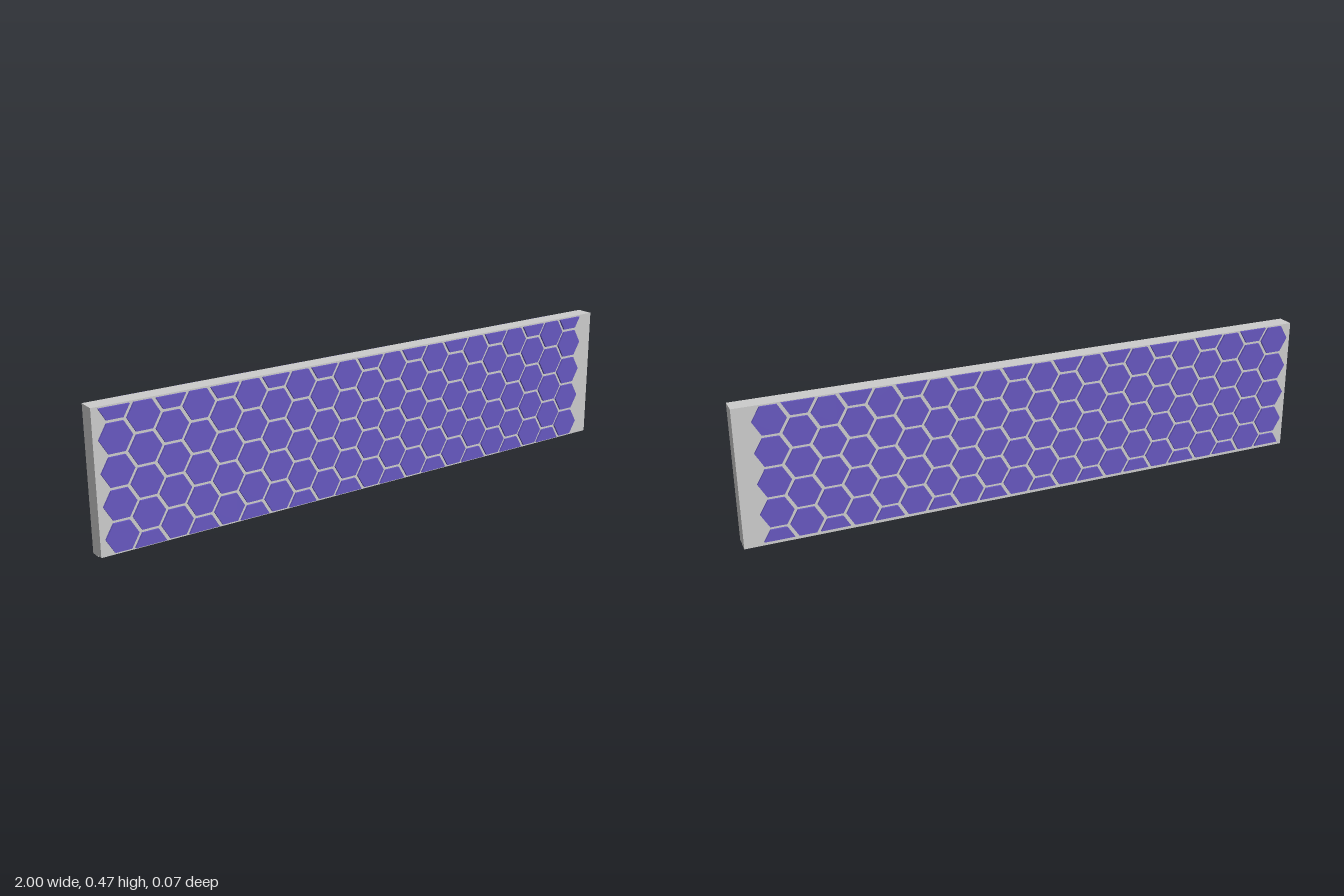
import * as THREE from 'three';

const COLS = 21, ROWS = 5;
const R = 0.0537, APOTHEM = R * Math.sqrt(3) / 2;
const X0 = -0.93, STEP_X = 0.0909, STEP_Y = 0.1035;
const Y_MIN = 0.01, Y_MAX = 0.465;
const PLATE_DEPTH = 0.012;

// Hexagon with points left and right, trimmed to the panel's upper and lower edge
function hexShape(cx, cy, flip) {
  const lo = Math.max(cy - APOTHEM, Y_MIN);
  const hi = Math.min(cy + APOTHEM, Y_MAX);
  const levels = [lo, cy, hi].filter((y, i) => i !== 1 || (y > lo && y < hi));
  const half = (y) => R - Math.abs(y - cy) / Math.sqrt(3);
  const place = (x, y) => new THREE.Vector2(x, flip ? 0.478 - y : y);
  const right = levels.map((y) => place(cx + half(y), y));
  const left = levels.map((y) => place(cx - half(y), y)).reverse();
  return new THREE.Shape([...right, ...left]);
}

// One face of honeycomb tiles
function tiles(name, flip, z, material) {
  const shapes = [];
  for (let c = 0; c < COLS; c++) {
    const y0 = c % 2 ? 0.0073 : 0.059;
    for (let r = 0; r < ROWS; r++) {
      shapes.push(hexShape(X0 + c * STEP_X, y0 + r * STEP_Y, flip));
    }
  }
  const geometry = new THREE.ExtrudeGeometry(shapes, { depth: PLATE_DEPTH, bevelEnabled: false });
  const mesh = new THREE.Mesh(geometry, material);
  mesh.name = name;
  mesh.position.z = z;
  return mesh;
}

// Flat board spanning the full width
function board(name, y0, y1, z0, z1, material) {
  const mesh = new THREE.Mesh(new THREE.BoxGeometry(2, y1 - y0, z1 - z0), material);
  mesh.name = name;
  mesh.position.set(0, (y0 + y1) / 2, (z0 + z1) / 2);
  return mesh;
}

export function createModel() {
  const model = new THREE.Group();
  model.name = 'honeycombPanel';
  const grey = new THREE.MeshStandardMaterial({ color: 0xcccccc });
  const purple = new THREE.MeshStandardMaterial({ color: 0x6657bf });

  // Two boards back to back, the front one slightly raised
  model.add(board('frontBoard', 0.005, 0.47, 0.005, 0.03, grey));
  model.add(board('backBoard', 0, 0.47, -0.029, 0.005, grey));

  // Raised tiles, the back pattern turned upside down
  model.add(tiles('frontTiles', false, 0.037 - PLATE_DEPTH, purple));
  model.add(tiles('backTiles', true, -0.036, purple));
  return model;
}
